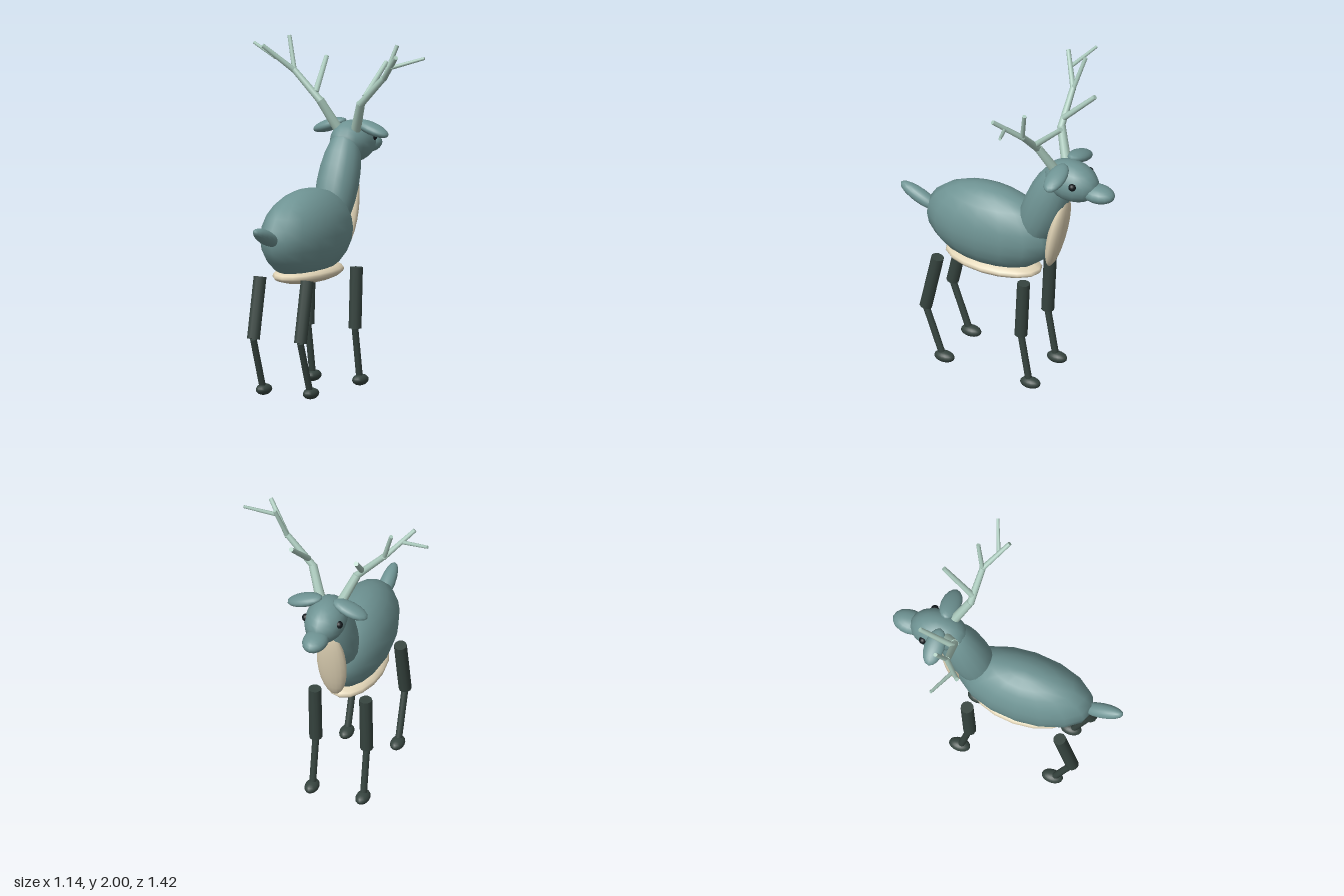
import * as THREE from 'three';

const mat = (color) => new THREE.MeshStandardMaterial({ color, roughness: 0.8 });

export function createModel() {
  const model = new THREE.Group();
  model.name = 'deer';
  const coat = mat(0x6f9494), cream = mat(0xe2d5b7), dark = mat(0x36443f);
  const horn = mat(0xa9c8bb), black = mat(0x12191d);

  // Stretched sphere: position, radii, tilt about x and z
  function ellipsoid(name, material, pos, radii, rx = 0, rz = 0, parent = model) {
    const mesh = new THREE.Mesh(new THREE.SphereGeometry(1, 16, 12), material);
    mesh.name = name;
    mesh.position.set(...pos);
    mesh.scale.set(...radii);
    mesh.rotation.set(rx, 0, rz);
    parent.add(mesh);
  }

  // Straight rod between two points, radius r0 at the start and r1 at the end
  function rod(name, material, from, to, r0, r1, parent) {
    const a = new THREE.Vector3(...from), b = new THREE.Vector3(...to);
    const dir = b.clone().sub(a);
    const mesh = new THREE.Mesh(new THREE.CylinderGeometry(r1, r0, dir.length(), 10), material);
    mesh.name = name;
    mesh.position.copy(a).add(b).multiplyScalar(0.5);
    mesh.quaternion.setFromUnitVectors(new THREE.Vector3(0, 1, 0), dir.normalize());
    parent.add(mesh);
  }

  // Torso, neck and tail
  ellipsoid('body', coat, [0, 0.93, 0.11], [0.2, 0.26, 0.415]);
  ellipsoid('belly', cream, [0, 0.7, 0.09], [0.16, 0.055, 0.31]);
  ellipsoid('neck', coat, [0, 1.17, -0.25], [0.122, 0.34, 0.13], -0.37);
  ellipsoid('chestPatch', cream, [0, 1.02, -0.335], [0.09, 0.26, 0.045], -0.21);
  ellipsoid('tail', coat, [0, 0.97, 0.58], [0.045, 0.042, 0.14], -0.4);

  // Head
  ellipsoid('head', coat, [0, 1.395, -0.427], [0.12, 0.122, 0.172], -0.12);
  ellipsoid('muzzle', coat, [0, 1.357, -0.6], [0.074, 0.052, 0.107]);

  // Antler segments on the left: name, start, end, start radius, end radius
  const antler = [
    ['antlerBase', [0.055, 1.46, -0.36], [0.137, 1.645, -0.28], 0.03, 0.025],
    ['antlerBeam', [0.13, 1.635, -0.28], [0.3, 1.81, -0.265], 0.022, 0.018],
    ['antlerTip', [0.295, 1.8, -0.27], [0.445, 1.955, -0.152], 0.017, 0.013],
    ['frontTine', [0.165, 1.685, -0.28], [0.2, 1.867, -0.468], 0.018, 0.014],
    ['upperTine', [0.297, 1.8, -0.266], [0.36, 1.998, -0.315], 0.014, 0.012],
    ['outerTine', [0.385, 1.885, -0.198], [0.568, 1.945, -0.27], 0.012, 0.009],
  ];

  // Leg joints: hip, knee, ankle and hoof as [y, z]
  const legs = [
    ['frontLeg', [0.7, -0.195], [0.345, -0.178], [0.05, -0.23], [0.035, -0.24]],
    ['hindLeg', [0.7, 0.375], [0.345, 0.453], [0.05, 0.345], [0.035, 0.33]],
  ];

  for (const [side, s] of [['left', 1], ['right', -1]]) {
    ellipsoid(side + 'Ear', coat, [s * 0.14, 1.48, -0.402], [0.112, 0.035, 0.06], 0, -s * 0.33);
    ellipsoid(side + 'Eye', black, [s * 0.102, 1.42, -0.487], [0.023, 0.023, 0.023]);

    const antlerGroup = new THREE.Group();
    antlerGroup.name = side + 'Antler';
    for (const [name, a, b, r0, r1] of antler) {
      rod(name, horn, [s * a[0], a[1], a[2]], [s * b[0], b[1], b[2]], r0, r1, antlerGroup);
    }
    model.add(antlerGroup);

    for (const [name, hip, knee, ankle, hoof] of legs) {
      const leg = new THREE.Group();
      leg.name = side + '_' + name;
      const x = s * 0.157;
      rod('upperLeg', dark, [x, ...knee], [x, ...hip], 0.038, 0.038, leg);
      rod('lowerLeg', dark, [x, ...ankle], [x, ...knee], 0.02, 0.02, leg);
      ellipsoid('hoof', dark, [x, ...hoof], [0.041, 0.033, 0.064], 0, 0, leg);
      model.add(leg);
    }
  }
  return model;
}
